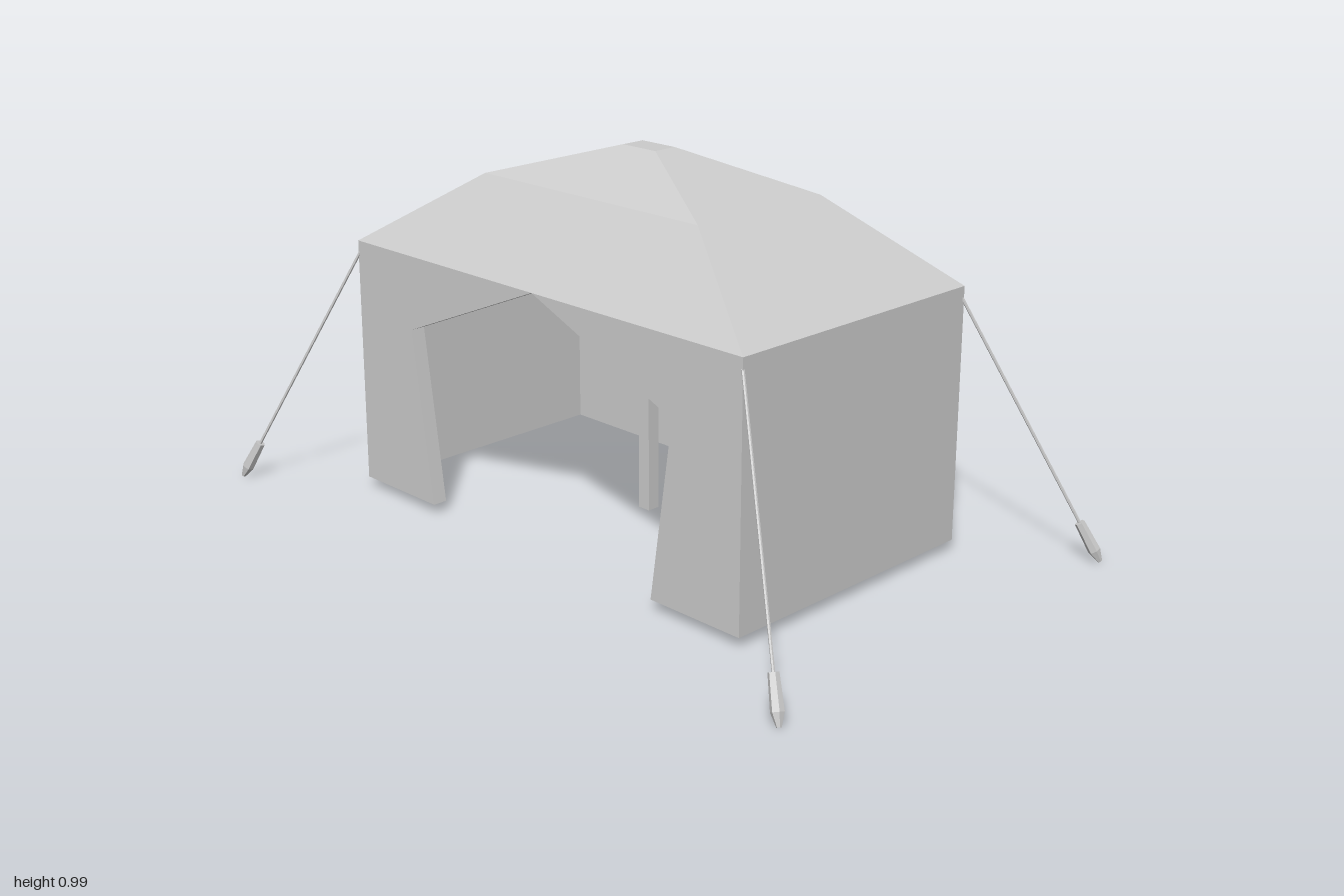
import * as THREE from 'three';

const W = 0.688, D = 0.393, BASE = 0.028, EAVE = 0.693, T = 0.04;
const material = new THREE.MeshStandardMaterial({ color: 0xcccccc, flatShading: true });

function addMesh(parent, name, geometry, x = 0, y = 0, z = 0) {
  const mesh = new THREE.Mesh(geometry, material);
  mesh.name = name;
  mesh.position.set(x, y, z);
  parent.add(mesh);
  return mesh;
}

// Skin of rectangular rings [halfWidth, y, halfDepth], joined in order
function rectLoft(rings) {
  const signs = [[1, 1], [1, -1], [-1, -1], [-1, 1]];
  const corner = ([w, y, d], i) => [w * signs[i % 4][0], y, d * signs[i % 4][1]];
  const pos = [];
  for (let r = 0; r < rings.length - 1; r++) {
    for (let i = 0; i < 4; i++) {
      const a0 = corner(rings[r], i), a1 = corner(rings[r], i + 1);
      const b0 = corner(rings[r + 1], i), b1 = corner(rings[r + 1], i + 1);
      if (rings[r][0] > 0) pos.push(...a0, ...b1, ...a1);
      if (rings[r + 1][0] > 0) pos.push(...a0, ...b0, ...b1);
    }
  }
  const g = new THREE.BufferGeometry();
  g.setAttribute('position', new THREE.Float32BufferAttribute(pos, 3));
  g.computeVertexNormals();
  return g;
}

// Points a y-aligned mesh from one point toward another
function aim(mesh, from, to) {
  mesh.position.copy(from).lerp(to, 0.5);
  mesh.quaternion.setFromUnitVectors(new THREE.Vector3(0, 1, 0), to.clone().sub(from).normalize());
}

export function createModel() {
  const tent = new THREE.Group();
  tent.name = 'tent';

  // Back and side walls
  const h = EAVE - BASE, midY = (EAVE + BASE) / 2;
  addMesh(tent, 'backWall', new THREE.BoxGeometry(2 * W, h, T), 0, midY, -D + T / 2);
  for (const s of [1, -1]) {
    const side = s > 0 ? 'left' : 'right';
    addMesh(tent, side + 'Wall', new THREE.BoxGeometry(T, h, 2 * (D - T)), s * (W - T / 2), midY, 0);

    // Half of the front wall, cut away along the doorway
    const outline = [[W, BASE], [W, EAVE], [0, EAVE], [0.473, 0.495], [0.405, BASE]];
    const shape = new THREE.Shape(outline.map(([x, y]) => new THREE.Vector2(s * x, y)));
    const front = new THREE.ExtrudeGeometry(shape, { depth: T, bevelEnabled: false });
    addMesh(tent, side + 'FrontWall', front, 0, 0, D - T);
  }

  // Two-pitch hipped roof: outer skin, eave, then inner skin
  addMesh(tent, 'roof', rectLoft([
    [0, 0.992, 0], [0.057, 0.992, 0.034], [0.377, 0.896, 0.214], [W, EAVE, D],
    [W - T, EAVE, D - T], [0.36, 0.86, 0.195], [0.05, 0.952, 0.028], [0, 0.952, 0],
  ]));

  // Centre pole
  addMesh(tent, 'centrePole', new THREE.BoxGeometry(0.036, 0.96 - BASE, 0.036), 0, (0.96 + BASE) / 2, 0);

  // Guy ropes and pegs at the four corners
  for (const sx of [1, -1]) {
    for (const sz of [1, -1]) {
      const guy = new THREE.Group();
      guy.name = 'guyLine';
      tent.add(guy);
      const top = new THREE.Vector3(sx * 0.684, 0.665, sz * 0.389);
      const tip = new THREE.Vector3(sx * 0.992, 0.002, sz * 0.597);
      const pegTop = tip.clone().lerp(top, 0.15);
      const ropeEnd = tip.clone().lerp(top, 0.05);

      const rope = addMesh(guy, 'rope', new THREE.CylinderGeometry(0.004, 0.004, top.distanceTo(ropeEnd), 6));
      aim(rope, ropeEnd, top);

      const len = tip.distanceTo(pegTop);
      const profile = [[0, -len / 2], [0.006, -len / 2], [0.016, -len / 2 + 0.032], [0.013, len / 2], [0, len / 2]];
      const peg = addMesh(guy, 'peg', new THREE.LatheGeometry(profile.map(([r, y]) => new THREE.Vector2(r, y)), 6));
      aim(peg, tip, pegTop);
    }
  }
  return tent;
}
